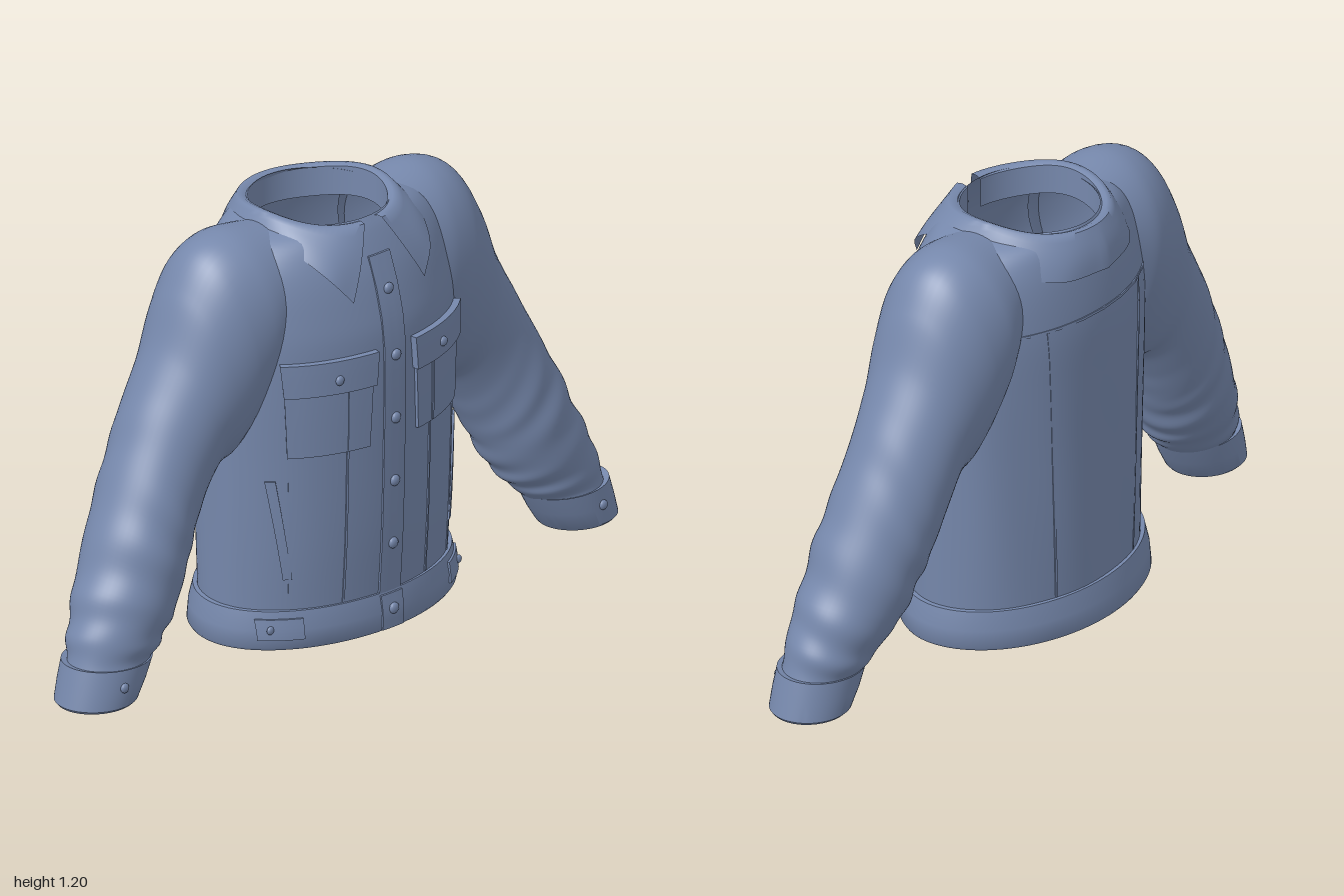
import * as THREE from 'three';
import { toCreasedNormals } from 'three/addons/utils/BufferGeometryUtils.js';

const denim = new THREE.MeshStandardMaterial({ color: 0x7688ac, side: THREE.DoubleSide });
denim.name = 'blue denim';

// Surface from a rule fn(i, j) -> [x, y, z]; closed wraps around in i
function grid(nu, nv, fn, closed = false) {
  const pos = [], idx = [], cols = closed ? nu : nu + 1;
  for (let j = 0; j <= nv; j++) for (let i = 0; i < cols; i++) pos.push(...fn(i, j));
  for (let j = 0; j < nv; j++) for (let i = 0; i < nu; i++) {
    const k = (i + 1) % cols, a = j * cols + i, b = j * cols + k;
    idx.push(a, b, a + cols, b, b + cols, a + cols);
  }
  const g = new THREE.BufferGeometry();
  g.setAttribute('position', new THREE.Float32BufferAttribute(pos, 3));
  g.setIndex(idx);
  g.computeVertexNormals();
  return g;
}

// Smooth interpolation of rows [y, halfWidth, front, back] by y
function profile(rows) {
  const slope = (i, c) => {
    const p = rows[Math.max(0, i - 1)], q = rows[Math.min(rows.length - 1, i + 1)];
    return (q[c] - p[c]) / (q[0] - p[0]);
  };
  return (y) => {
    let i = 0;
    while (i < rows.length - 2 && y > rows[i + 1][0]) i++;
    const h = rows[i + 1][0] - rows[i][0], t = (y - rows[i][0]) / h;
    return [1, 2, 3].map((c) => {
      const s = t * t * (3 - 2 * t);
      return rows[i][c] * (1 - s) + rows[i + 1][c] * s
        + h * (t * (1 - t) * (1 - t) * slope(i, c) - t * t * (1 - t) * slope(i + 1, c));
    });
  };
}
const bodyAt = profile([
  [0.1, 0.39, 0.255, 0.265], [0.3, 0.395, 0.268, 0.268], [0.55, 0.4, 0.275, 0.27],
  [0.75, 0.405, 0.278, 0.272], [0.88, 0.405, 0.274, 0.272], [0.96, 0.4, 0.258, 0.265],
  [1.04, 0.385, 0.235, 0.252], [1.1, 0.355, 0.21, 0.238], [1.15, 0.29, 0.185, 0.226], [1.18, 0.19, 0.165, 0.215],
]);
const hemAt = profile([[0.01, 0.42, 0.27, 0.295], [0.06, 0.415, 0.27, 0.285], [0.118, 0.405, 0.262, 0.274]]);
const ring = ([a, f, b], th, grow = 0) => {
  const c = Math.cos(th);
  return [(a + grow) * Math.sin(th), (c > 0 ? f + grow : b + grow) * c];
};

export function createModel() {
  const jacket = new THREE.Group();
  jacket.name = 'jacket';
  const add = (name, geo, crease) => {
    const m = new THREE.Mesh(crease ? toCreasedNormals(geo, crease) : geo, denim);
    m.name = name;
    jacket.add(m);
    return m;
  };

  // Raised panel hugging the body; slant shifts its lower edge sideways, taper narrows it
  function panel(name, x0, x1, y0, y1, off, { at = bodyAt, back = false, slant = 0, taper = 0 } = {}) {
    const nu = 10, nv = 14;
    add(name, grid(nu, nv, (i, j) => {
      const u = Math.min(1, Math.max(0, (i - 1) / (nu - 2))), v = Math.min(1, Math.max(0, (j - 1) / (nv - 2)));
      const y = y0 + (y1 - y0) * v;
      const x = x0 + (x1 - x0) * (0.5 + (u - 0.5) * (1 - taper * (1 - v))) + slant * (1 - v);
      const [a, f, b] = at(y), z = (back ? b : f) * Math.sqrt(Math.max(0, 1 - (x / a) ** 2));
      const rim = i === 0 || i === nu || j === 0 || j === nv;
      const d = rim ? -0.004 : off, nx = x / (a * a), nz = z / ((back ? b : f) ** 2), n = Math.hypot(nx, nz);
      return [x + d * nx / n, y, (back ? -1 : 1) * (z + d * nz / n)];
    }), 0.6);
  }
  function button(name, x, y, z, r = 0.016) {
    const m = add(name, new THREE.SphereGeometry(r, 14, 10));
    m.scale.z = 0.6;
    m.position.set(x, y, z);
  }
  const frontZ = (at, x, y) => { const [a, f] = at(y); return f * Math.sqrt(1 - (x / a) ** 2); };

  // Torso shell, with soft folds on the lower body
  add('torso', grid(96, 56, (i, j) => {
    const v = j / 56, y = 0.1 + 1.08 * (1 - (1 - v) ** 1.6), th = i / 96 * Math.PI * 2;
    const fold = 0.003 * Math.sin(th * 9 + y * 3) * Math.sin(Math.PI * Math.min(1, y / 0.95)) * (Math.cos(th) < 0.3 ? 1 : 0.3);
    const [x, z] = ring(bodyAt(y), th, fold);
    return [x, y, z];
  }, true));

  // Hem band: outside, bottom lip and inside
  const hemSteps = [[0.118, -0.014], [0.118, 0], [0.065, 0.003], [0.016, 0], [0.008, -0.006], [0.014, -0.014], [0.118, -0.02]];
  add('hemBand', grid(96, 6, (i, j) => {
    const [y, grow] = hemSteps[j], [x, z] = ring(hemAt(Math.max(0.01, y)), i / 96 * Math.PI * 2, grow);
    return [x, y, z];
  }, true), 0.7);

  // Front placket and its buttons
  panel('placket', -0.038, 0.038, 0.11, 1.09, 0.006);
  panel('hemPlacket', -0.038, 0.038, 0.014, 0.112, 0.006, { at: hemAt });
  for (const y of [0.26, 0.445, 0.63, 0.815, 1.0]) button('frontButton', 0, y, bodyAt(y)[1] + 0.008);
  button('hemButton', 0, 0.07, hemAt(0.07)[1] + 0.008);

  // Collar: outer leaf, rolled top and inner neckband, open at the front
  const hemline = new THREE.CatmullRomCurve3([
    [0.13, 0.995, 0.258], [0.185, 1.065, 0.222], [0.23, 1.13, 0.12], [0.245, 1.145, -0.02],
    [0.235, 1.09, -0.15], [0.15, 1.065, -0.245], [0, 1.06, -0.287],
  ].map((p) => new THREE.Vector3(...p)));
  const oval = (th, rx, f, b, y) => {
    const c = Math.cos(th);
    return new THREE.Vector3(rx * Math.sin(th), y + 0.022 * Math.sin(th) ** 4, -0.02 + (c > 0 ? f : b) * c);
  };
  add('collar', grid(80, 12, (i, j) => {
    const s = i / 40 - 1, t = 1 - Math.abs(s), sign = s < 0 ? -1 : 1;
    const th = Math.PI - (1 - t) * (Math.PI - 0.15), k = 1 - t;
    const low = hemline.getPoint(1 - k), top = oval(th, 0.212, 0.218, 0.225, 1.178);
    const inn = oval(th, 0.187, 0.185, 0.2, 1.174), base = oval(th, 0.187, 0.185, 0.2, 1.09);
    let p;
    if (j <= 7) {
      p = low.lerp(top, j / 7);
      p.z += 0.008 * Math.sin(j / 7 * Math.PI) * Math.sign(Math.cos(th));
    } else if (j === 8) {
      p = top.lerp(inn, 0.5);
      p.y += 0.004;
    } else p = inn.lerp(base, (j - 9) / 3);
    return [sign * p.x, p.y, p.z];
  }), 0.9);

  // Sleeve stations: inner x, y, outer x, y, centre z, half depth
  const stations = [
    [0.26, 0.8, 0.2, 1.172, -0.015, 0.17], [0.3, 0.68, 0.36, 1.184, -0.02, 0.195],
    [0.34, 0.6, 0.45, 1.15, -0.02, 0.19], [0.39, 0.545, 0.52, 1.05, -0.02, 0.175],
    [0.44, 0.53, 0.58, 0.9, -0.02, 0.16], [0.5, 0.44, 0.655, 0.765, -0.02, 0.153],
    [0.545, 0.35, 0.725, 0.63, -0.01, 0.153], [0.58, 0.28, 0.8, 0.48, 0.005, 0.152],
    [0.62, 0.2, 0.875, 0.32, 0.02, 0.142], [0.665, 0.145, 0.93, 0.2, 0.035, 0.122],
    [0.71, 0.1, 0.955, 0.105, 0.045, 0.104],
  ];
  const curve = (pick) => new THREE.CatmullRomCurve3(stations.map((s) => new THREE.Vector3(...pick(s))));
  const inner = curve((s) => [s[0], s[1], 0]), outer = curve((s) => [s[2], s[3], 0]), depth = curve((s) => [s[4], s[5], 0]);
  const cuffRows = [
    [0.72, 0.105, 0.95, 0.11, 0.046, 0.1], [0.706, 0.108, 0.972, 0.116, 0.046, 0.112],
    [0.735, 0.055, 0.987, 0.06, 0.048, 0.112], [0.765, 0.008, 1.0, 0.008, 0.05, 0.108],
    [0.772, 0, 0.994, 0, 0.05, 0.1], [0.778, 0.008, 0.988, 0.008, 0.05, 0.094], [0.735, 0.1, 0.945, 0.105, 0.046, 0.094],
  ];
  const hoop = (s, ix, iy, ox, oy, zc, hz, th, k = 1) => {
    const c = Math.cos(th) * k / 2;
    return [s * ((ix + ox) / 2 + (ox - ix) * c), (iy + oy) / 2 + (oy - iy) * c, zc + hz * k * Math.sin(th)];
  };

  for (const s of [1, -1]) {
    const span = (a, b) => s > 0 ? [a, b] : [-b, -a];

    // Sleeve with slanting creases that deepen towards the wrist
    add('sleeve', grid(56, 110, (i, j) => {
      const t = j / 110, th = i / 56 * Math.PI * 2;
      const a = inner.getPoint(t), b = outer.getPoint(t), d = depth.getPoint(t);
      const amp = 0.035 * THREE.MathUtils.smoothstep(t, 0.38, 0.85);
      const wave = Math.sin(t * 62 + 1.4 * Math.sin(th + 0.6)) * (0.6 + 0.4 * Math.sin(th * 2 + t * 17));
      return hoop(s, a.x, a.y, b.x, b.y, d.x, d.y, th, 1 + amp * wave);
    }, true));
    add('cuff', grid(56, 6, (i, j) => hoop(s, ...cuffRows[j], i / 56 * Math.PI * 2), true), 0.7);
    button('cuffButton', s * 0.88, 0.065, 0.16, 0.014);

    // Chest pocket with buttoned flap
    panel('chestPocket', ...span(0.075, 0.315), 0.57, 0.83, 0.009, { taper: 0.1 });
    panel('pocketFlap', ...span(0.065, 0.32), 0.75, 0.845, 0.019, { taper: 0.06 });
    panel('pocketPleat', ...span(0.146, 0.154), 0.575, 0.75, 0.012);
    button('flapButton', s * 0.19, 0.79, frontZ(bodyAt, 0.19, 0.79) + 0.022, 0.014);

    // Slanted hand pocket welt and hem tab
    panel('handPocketWelt', ...span(0.325, 0.345), 0.21, 0.5, 0.006, { slant: -0.04 * s });
    panel('hemTab', ...span(0.265, 0.365), 0.04, 0.098, 0.007, { at: hemAt });
    button('tabButton', s * 0.345, 0.07, frontZ(hemAt, 0.345, 0.07) + 0.012, 0.012);

    // Raised seams on the front and back
    panel('frontSeam', ...span(0.147, 0.153), 0.12, 0.57, 0.003);
    panel('sideFrontSeam', ...span(0.295, 0.301), 0.12, 0.57, 0.003, { slant: -0.01 * s });
    panel('backSeam', ...span(0.197, 0.203), 0.12, 0.93, 0.003, { back: true, slant: -0.03 * s });
  }
  panel('backYokeSeam', -0.34, 0.34, 0.93, 0.937, 0.004, { back: true });
  return jacket;
}
